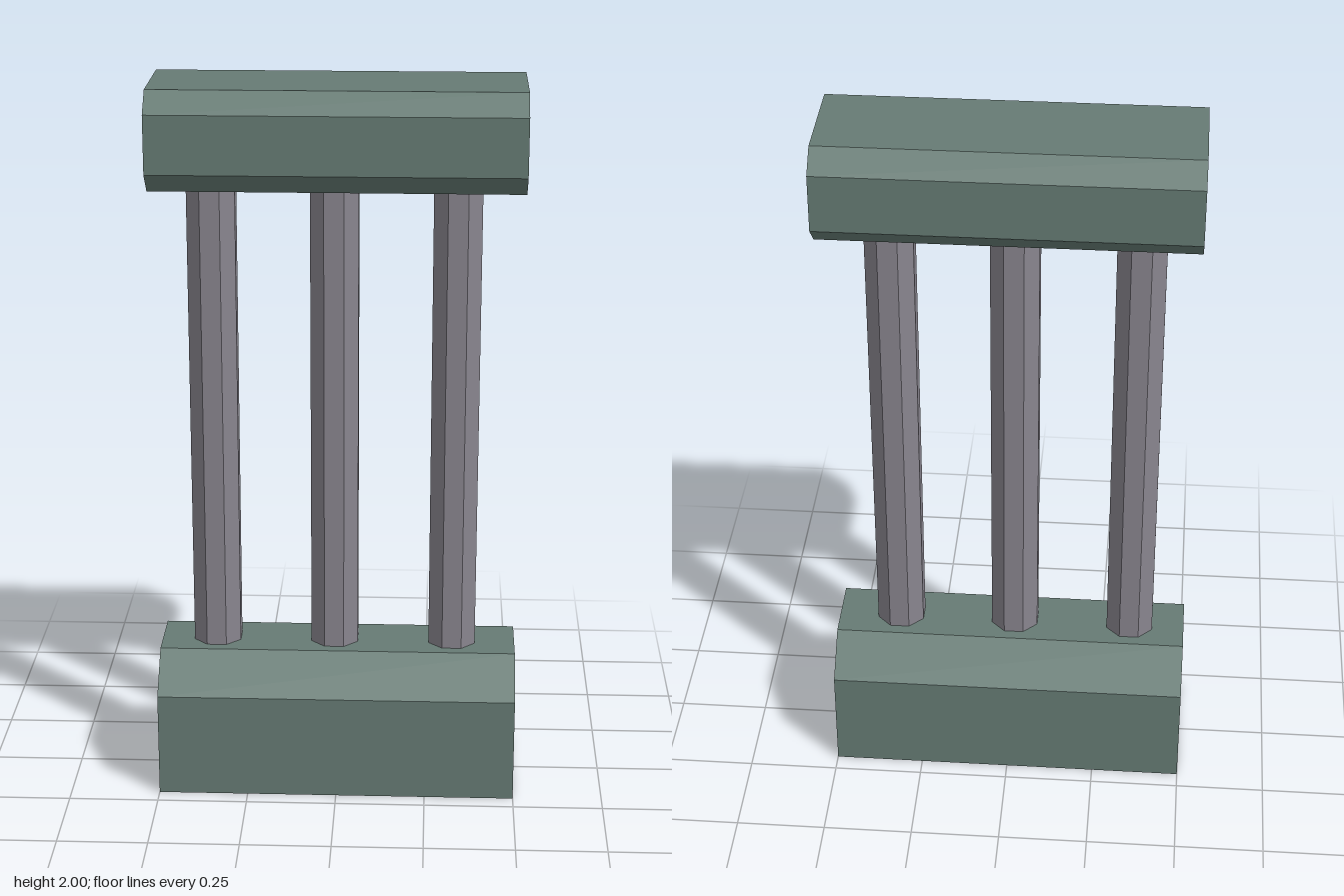
import * as THREE from 'three';

const stone = new THREE.MeshStandardMaterial({ color: 0x667b74, flatShading: true });
const metal = new THREE.MeshStandardMaterial({ color: 0x88858e, flatShading: true });

// Extrudes a mirrored half profile of [z, y] points along x, one unit long
function block(name, half) {
  const mirrored = half.map(([z, y]) => [-z, y]).reverse();
  const shape = new THREE.Shape([...half, ...mirrored].map(([z, y]) => new THREE.Vector2(z, y)));
  const geometry = new THREE.ExtrudeGeometry(shape, { depth: 1, bevelEnabled: false });
  geometry.translate(0, 0, -0.5).rotateY(Math.PI / 2);
  const mesh = new THREE.Mesh(geometry, stone);
  mesh.name = name;
  return mesh;
}

export function createModel() {
  const group = new THREE.Group();
  group.name = 'columnBarrier';

  // Plinth with chamfered top edges
  group.add(block('base', [[0.2, 0], [0.2, 0.296], [0.097, 0.4]]));

  // Top rail chamfered on all four long edges
  group.add(block('topRail', [[0.143, 1.73], [0.2, 1.786], [0.2, 1.944], [0.143, 2]]));

  // Three octagonal columns, flats facing front and sides
  const bottom = 0.4, top = 1.73;
  const columnGeometry = new THREE.CylinderGeometry(0.071, 0.071, top - bottom, 8);
  columnGeometry.rotateY(Math.PI / 8);
  [-0.343, -0.01, 0.322].forEach((x, i) => {
    const column = new THREE.Mesh(columnGeometry, metal);
    column.name = `column${i + 1}`;
    column.position.set(x, (bottom + top) / 2, 0);
    group.add(column);
  });

  return group;
}
